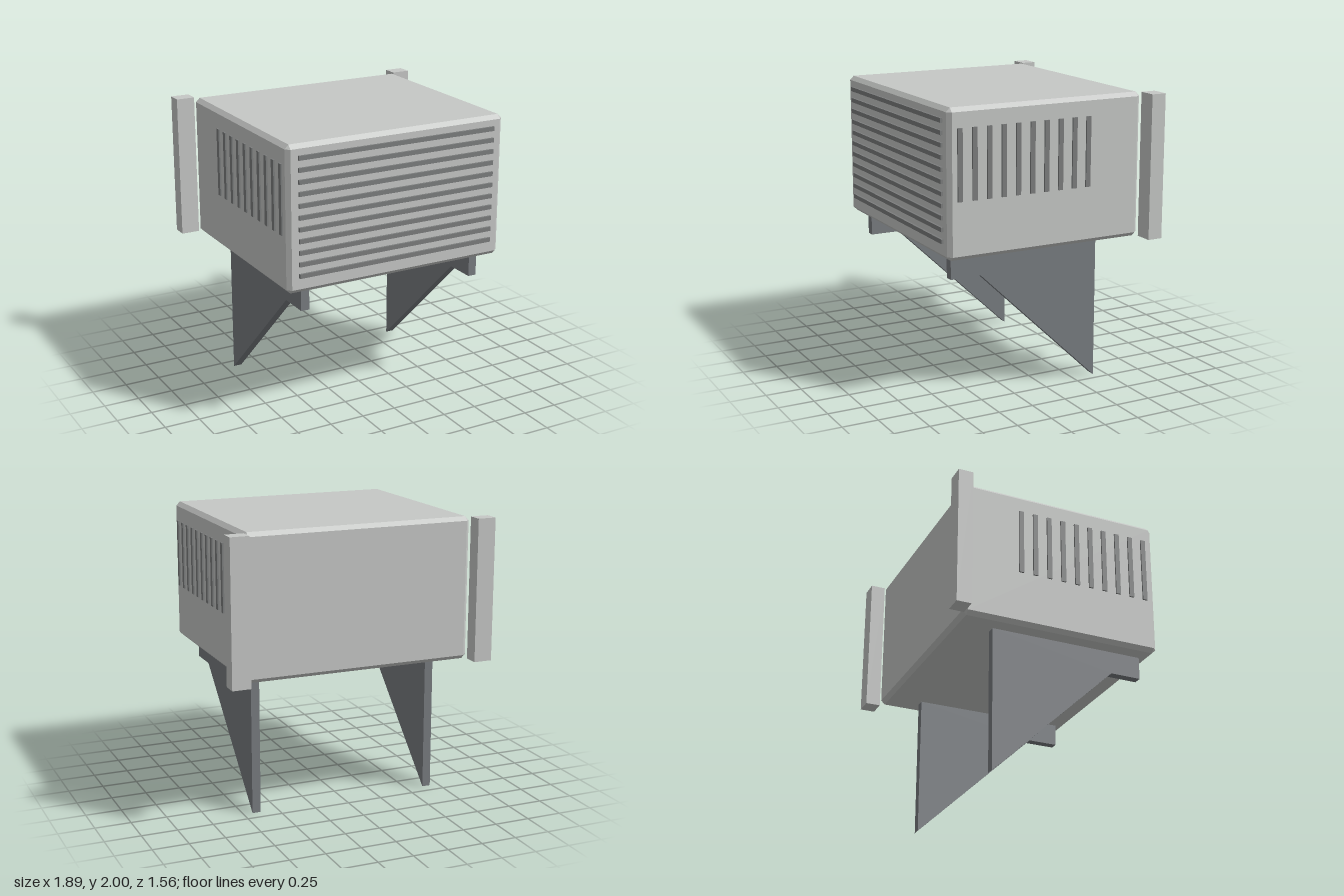
import * as THREE from 'three';
import { ConvexGeometry } from 'three/addons/geometries/ConvexGeometry.js';

const mat = (name, color) => {
  const m = new THREE.MeshStandardMaterial({ color });
  m.name = name;
  return m;
};

// Box with all twelve edges cut flat at 45 degrees
function chamferedBox(w, h, d, c) {
  const pts = [];
  for (const x of [-1, 1]) for (const y of [-1, 1]) for (const z of [-1, 1]) {
    for (let face = 0; face < 3; face++) {
      pts.push(new THREE.Vector3(
        x * (w / 2 - (face === 0 ? 0 : c)),
        y * (h / 2 - (face === 1 ? 0 : c)),
        z * (d / 2 - (face === 2 ? 0 : c))));
    }
  }
  return new ConvexGeometry(pts);
}

export function createModel() {
  const root = new THREE.Group();
  root.name = 'windowUnit';
  const casing = mat('casingGrey', 0xc6c8c6);
  const slatGrey = mat('slatGrey', 0x7c7e7e);
  const steel = mat('bracketSteel', 0x787c80);

  const add = (name, geometry, material, x, y, z) => {
    const mesh = new THREE.Mesh(geometry, material);
    mesh.name = name;
    mesh.position.set(x, y, z);
    root.add(mesh);
    return mesh;
  };

  // Main housing
  add('housing', chamferedBox(1.63, 0.995, 1.44, 0.028), casing, 0, 1.5025, 0.045);

  // Horizontal slats of the front grille
  const slat = new THREE.BoxGeometry(1.472, 0.03, 0.03);
  for (let i = 0; i < 11; i++) add('frontSlat', slat, slatGrey, 0, 1.125 + i * 0.0788, 0.765);

  // Support bracket outline: short arm in front, diagonal brace to the rear foot
  const outline = new THREE.Shape([
    [-0.69, 1.005], [-0.69, 0.845], [-0.47, 0.845], [0.415, 0], [0.415, 1.005],
  ].map(([x, y]) => new THREE.Vector2(x, y)));
  const bracket = new THREE.ExtrudeGeometry(outline, { depth: 0.06, bevelEnabled: false });
  bracket.translate(0, 0, -0.03).rotateY(Math.PI / 2);

  const louvre = new THREE.BoxGeometry(0.026, 0.475, 0.034);
  const post = new THREE.BoxGeometry(0.13, 0.995, 0.105);

  for (const s of [1, -1]) {
    const side = s > 0 ? 'left' : 'right';
    // Vertical louvres on the side wall
    for (let i = 0; i < 10; i++) add(side + 'Louvre', louvre, slatGrey, s * 0.813, 1.632, 0.684 - i * 0.1052);
    // Rear mounting post beside the housing
    add(side + 'Post', post, casing, s * 0.882, 1.5025, -0.7275);
    add(side + 'Bracket', bracket, steel, s * 0.656, 0, 0);
  }
  return root;
}
